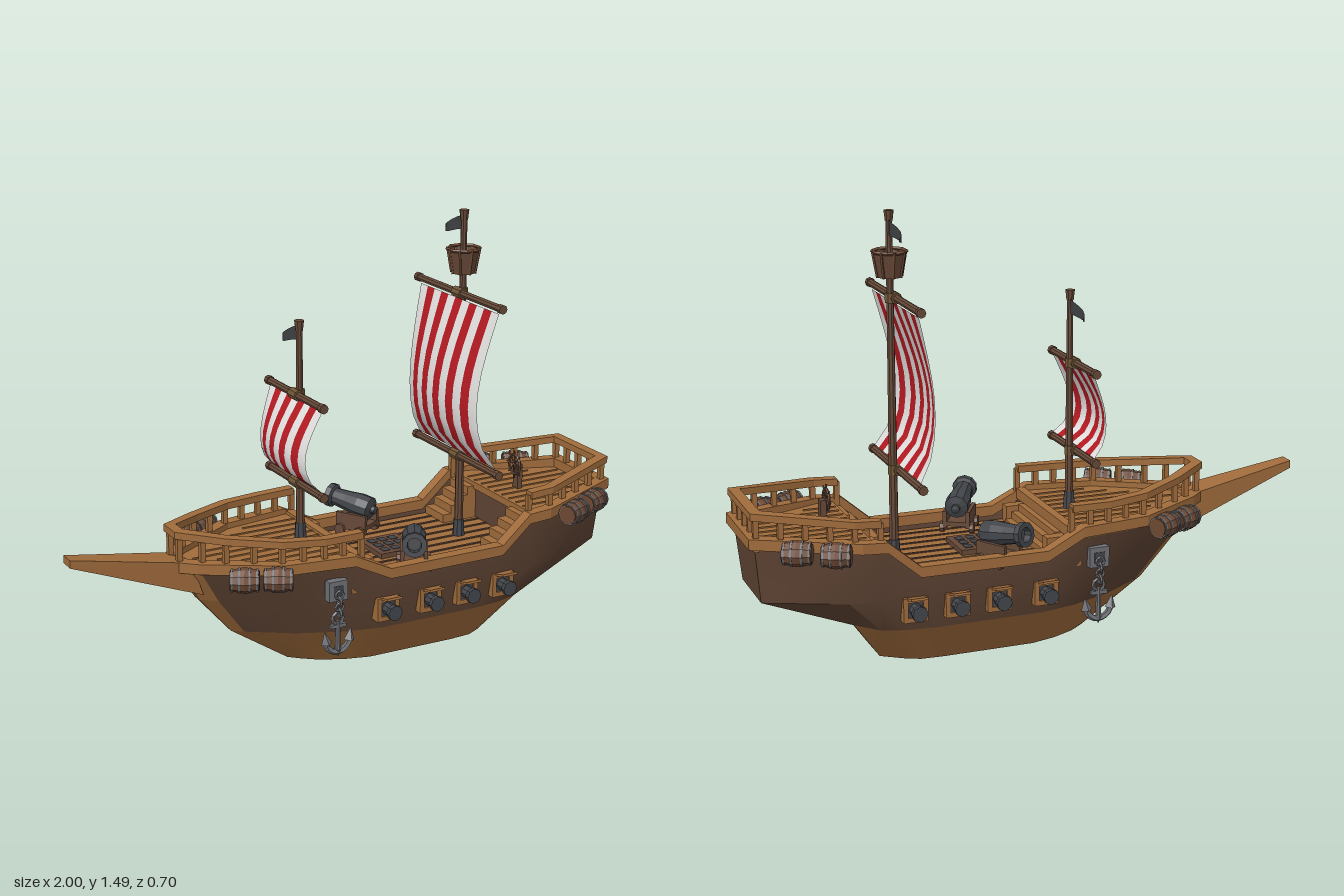
import * as THREE from 'three';
import { toCreasedNormals } from 'three/addons/utils/BufferGeometryUtils.js';

const V = (x, y, z) => new THREE.Vector3(x, y, z);
const paint = (name, color, both = false, flat = true) => {
  const m = new THREE.MeshStandardMaterial({ color, flatShading: flat });
  m.name = name;
  if (both) m.side = THREE.DoubleSide;
  return m;
};

// Flat-sided geometry from a list of four-cornered faces
function quads(list) {
  const pts = [];
  for (const [a, b, c, d] of list) pts.push(a, b, c, a, c, d);
  const g = new THREE.BufferGeometry().setFromPoints(pts);
  g.computeVertexNormals();
  return g;
}

// Rectangular board following a path, mitred at its corners
function board(path, w, h) {
  const rings = path.map((p, i) => {
    const t1 = V().subVectors(p, path[Math.max(i - 1, 0)]).setY(0).normalize();
    const t2 = V().subVectors(path[Math.min(i + 1, path.length - 1)], p).setY(0).normalize();
    const t = t1.clone().add(t2).normalize();
    const n = V(-t.z, 0, t.x);
    const ref = t1.lengthSq() ? t1 : t2;
    n.multiplyScalar(w / 2 / Math.max(0.5, t.dot(ref)));
    return [[1, -1], [1, 1], [-1, 1], [-1, -1]].map(([s, u]) => p.clone().addScaledVector(n, s).add(V(0, u * h / 2, 0)));
  });
  const f = [];
  for (let i = 0; i + 1 < rings.length; i++)
    for (let k = 0; k < 4; k++) {
      const j = (k + 1) % 4;
      f.push([rings[i][k], rings[i + 1][k], rings[i + 1][j], rings[i][j]]);
    }
  f.push(rings[0], [...rings[rings.length - 1]].reverse());
  return quads(f);
}

const flip = p => V(p.x, p.y, -p.z);
const around = side => [...side, ...side.map(flip).reverse()];

// Hull lines from keel to rail: x, y, half width, bow to stern
const LINES = [
  [[-.22, 0, .01], [-.19, 0, .04], [-.14, 0, .08], [-.06, 0, .12], [.03, 0, .145], [.35, 0, .15], [.43, 0, .145], [.48, 0, .12], [.55, 0, .07]],
  [[-.43, .14, .01], [-.395, .14, .038], [-.25, .14, .135], [-.1, .14, .2], [.03, .14, .23], [.4, .14, .235], [.5, .14, .225], [.58, .14, .2], [.65, .14, .12]],
  [[-.55, .28, .02], [-.5, .28, .065], [-.3, .28, .19], [-.1, .27, .245], [.03, .26, .26], [.46, .26, .26], [.6, .26, .255], [.7, .26, .24], [.96, .26, .125]],
  [[-.63, .41, .03], [-.575, .41, .082], [-.34, .41, .225], [-.1, .41, .262], [.03, .345, .267], [.47, .345, .267], [.58, .44, .267], [.66, .445, .267], [.98, .46, .14]],
].map(l => l.map(p => V(...p)));

export function createModel() {
  const ship = new THREE.Group();
  ship.name = 'sailingShip';
  const trim = paint('trimWood', 0xa06c3c, true, false), dark = paint('darkHull', 0x5f4434, true, false);
  const spar = paint('sparWood', 0x664938, true), iron = paint('iron', 0x42454a), steel = paint('steel', 0x707176);
  const cask = paint('caskWood', 0x6d4832), rope = paint('rope', 0x6e5536), white = paint('sailWhite', 0xe4e3e2, true, false);
  const red = paint('sailRed', 0xb51a22, true, false), cloth = paint('flagCloth', 0x3c3e40, true, false);

  const add = (name, geo, mat, p = [0, 0, 0], r = [0, 0, 0], parent = ship) => {
    const m = new THREE.Mesh(geo, mat);
    m.name = name;
    m.position.set(...p);
    m.rotation.set(...r);
    parent.add(m);
    return m;
  };
  const box = (name, w, h, d, mat, p, r, parent) => add(name, new THREE.BoxGeometry(w, h, d), mat, p, r, parent);
  const rod = (name, r1, r2, h, mat, p, r, parent, n = 8) => add(name, new THREE.CylinderGeometry(r1, r2, h, n), mat, p, r, parent);
  const group = (name, p, ry = 0) => {
    const g = new THREE.Group();
    g.name = name;
    g.position.set(...p);
    g.rotation.y = ry;
    ship.add(g);
    return g;
  };

  // Hull skin, mirrored about the keel; the first column is the stem
  const columns = (l, from, to) => {
    const f = [], A = LINES[l], B = LINES[l + 1];
    for (let s = from; s < to; s++) {
      const q = [A[s], A[s + 1], B[s + 1], B[s]];
      f.push(q, q.map(flip).reverse());
    }
    return f;
  };
  const bowCap = l => [flip(LINES[l][0]), LINES[l][0], LINES[l + 1][0], flip(LINES[l + 1][0])];
  const sternCap = l => [LINES[l][8], flip(LINES[l][8]), flip(LINES[l + 1][8]), LINES[l + 1][8]];
  const K = LINES[0], bottom = [];
  for (let s = 0; s < 8; s++) bottom.push([K[s], flip(K[s]), flip(K[s + 1]), K[s + 1]]);
  add('lowerHull', toCreasedNormals(quads([...columns(0, 0, 8), bowCap(0), sternCap(0), ...bottom]), .5), trim);
  add('stem', quads([...columns(1, 0, 1), ...columns(2, 0, 1), bowCap(1), bowCap(2)]), trim);
  add('upperHull', toCreasedNormals(quads([...columns(1, 1, 8), ...columns(2, 1, 8), sternCap(1), sternCap(2)]), .55), dark);
  const rail = LINES[3];
  add('gunwale', board(around(rail.map(p => V(p.x, p.y + .01, p.z))), .042, .036), trim);

  // Bowsprit wedge
  const sprit = new THREE.BoxGeometry(1, 1, 1), sp = sprit.attributes.position;
  for (let i = 0; i < sp.count; i++) {
    const tip = sp.getX(i) < 0, up = sp.getY(i) > 0;
    sp.setXYZ(i, tip ? -1 : up ? -.59 : -.55, tip ? (up ? .505 : .478) : (up ? .43 : .31), sp.getZ(i) * (tip ? .056 : .115));
  }
  sprit.computeVertexNormals();
  add('bowsprit', sprit, trim);

  // Decks, bulkheads and planking
  const deck = (name, pts, y) => {
    const o = [...pts, ...pts.map(([x, z]) => [x, -z]).reverse()].map(([x, z]) => new THREE.Vector2(x, z));
    const g = new THREE.ExtrudeGeometry(new THREE.Shape(o), { depth: .025, bevelEnabled: false });
    add(name, g.rotateX(Math.PI / 2), trim, [0, y, 0]);
  };
  deck('foreDeck', [...rail.slice(0, 4).map(p => [p.x, p.z]), [-.06, .255]], .418);
  deck('mainDeck', [[-.1, .25], [.64, .25]], .32);
  deck('aftDeck', [[.61, .255], [.66, .262], [.975, .138]], .455);
  box('foreBulkhead', .012, .1, .5, dark, [-.07, .36, 0]);
  box('aftBulkhead', .012, .13, .5, dark, [.625, .38, 0]);
  for (let i = -4; i <= 4; i++) {
    box('plankSeam', .66, .004, .01, dark, [.29, .321, i * .052 + .001]);
    const z = i * .045, bow = -.56 + Math.abs(z) * 1.5, stern = Math.min(.95, 1.2 - Math.abs(z) * 2.6);
    box('foreDeckBatten', -.09 - bow, .005, .005, trim, [(bow - .09) / 2, .42, z]);
    box('aftDeckBatten', stern - .62, .005, .005, trim, [(stern + .62) / 2, .457, z]);
  }
  for (let i = 0; i < 3; i++) box('foreStep', .025, .075 - i * .025, .34, trim, [-.052 + i * .025, .357 - i * .0125, 0]);
  box('foreDeckEdge', .03, .02, .5, trim, [-.075, .42, 0]);
  for (const s of [1, -1]) {
    box('foreDeckPost', .08, .06, .04, trim, [-.035, .36, s * .19]);
    for (let i = 0; i < 4; i++) box('aftStair', .035, .03 + i * .03, .12, trim, [.5 + i * .034, .335 + i * .015, s * .185]);
  }

  // Deck grating
  box('hatchFrame', .15, .02, .16, spar, [.185, .328, 0]);
  for (let i = 0; i < 3; i++)
    for (let j = 0; j < 3; j++) box('hatchHole', .028, .006, .03, iron, [.145 + i * .04, .337, (j - 1) * .044]);

  // Railings with evenly spaced posts
  const railing = (name, side, drop) => {
    const path = around(side);
    add(name + 'Rail', board(path, .036, .024), trim);
    for (let i = 0; i + 1 < path.length; i++) {
      const n = Math.max(1, Math.round(path[i].distanceTo(path[i + 1]) / .075));
      for (let k = 0; k < n; k++) {
        const p = path[i].clone().lerp(path[i + 1], k / n), h = p.y - drop;
        box(name + 'Post', .018, h, .018, trim, [p.x, drop + h / 2, p.z]);
      }
    }
    const e = path[path.length - 1], h = e.y - drop;
    box(name + 'Post', .018, h, .018, trim, [e.x, drop + h / 2, e.z]);
  };
  railing('fore', [V(-.065, .5, .25), V(-.2, .498, .245), V(-.34, .503, .215), V(-.5, .515, .125), V(-.625, .53, .035)], .41);
  railing('aft', [V(.595, .525, .25), V(.68, .53, .25), V(.975, .56, .14)], .44);

  // Striped billowing sail, one mesh per stripe
  const sail = (name, x0, y0, h, w, bulge, n) => {
    for (let i = 0; i < n; i++) {
      const g = new THREE.PlaneGeometry(2 / n, 1, 2, 8), p = g.attributes.position;
      for (let k = 0; k < p.count; k++) {
        const u = p.getX(k) - 1 + (2 * i + 1) / n, v = p.getY(k) + .5, b = Math.sin(Math.PI * v ** .72);
        p.setXYZ(k, x0 - bulge * b * (.68 + .32 * (1 - u * u)), y0 + v * h, -u * w * (1 - .12 * b));
      }
      g.computeVertexNormals();
      add(name, g, i % 2 ? red : white);
    }
  };
  // Mast with yards, lashings, cap and pennant
  const mast = (name, x, y0, y1, yards, half) => {
    rod(name, .011, .016, y1 - y0, spar, [x, (y0 + y1) / 2, 0]);
    rod(name + 'Foot', .018, .022, .06, iron, [x, y0 + .03, 0]);
    rod(name + 'Cap', .017, .013, .035, spar, [x, y1 - .0175, 0]);
    for (const y of yards) {
      rod(name + 'Yard', .013, .013, half * 2, spar, [x - .015, y, 0], [Math.PI / 2, 0, 0]);
      for (const s of [1, -1]) rod(name + 'YardEnd', .016, .016, .02, spar, [x - .015, y, s * (half - .01)], [Math.PI / 2, 0, 0]);
      rod(name + 'Lashing', .021, .021, .032, rope, [x - .003, y, 0]);
      rod(name + 'Lashing', .019, .019, .05, rope, [x - .015, y, 0], [Math.PI / 2, 0, 0]);
    }
    const g = new THREE.PlaneGeometry(1, 1, 8, 1), p = g.attributes.position;
    for (let k = 0; k < p.count; k++) {
      const t = p.getX(k) + .5;
      p.setXYZ(k, x + .012 * Math.sin(t * 7), y1 - .055 - .02 * t + .008 * Math.sin(t * 6) + p.getY(k) * .05 * (1 - .85 * t * t), -.01 - t * .12);
    }
    g.computeVertexNormals();
    add(name + 'Pennant', g, cloth);
  };
  mast('foreMast', -.16, .418, 1.18, [.93, .625], .2);
  sail('foreSail', -.175, .64, .275, .185, .075, 9);
  mast('mainMast', .47, .32, 1.485, [1.2, .622], .275);
  sail('mainSail', .455, .64, .54, .25, .09, 11);

  // Lookout basket
  add('lookoutWall', new THREE.CylinderGeometry(.056, .04, .085, 8, 1, true), spar, [.47, 1.31, 0]);
  rod('lookoutFloor', .041, .038, .01, spar, [.47, 1.272, 0]);
  add('lookoutRim', new THREE.TorusGeometry(.057, .006, 4, 8), cask, [.47, 1.352, 0], [Math.PI / 2, 0, Math.PI / 8]);
  for (let i = 0; i < 8; i++) {
    const a = i * Math.PI / 4, c = Math.sin(a), d = Math.cos(a);
    add('lookoutRib', new THREE.TubeGeometry(new THREE.LineCurve3(V(.47 + .041 * c, 1.268, .041 * d), V(.47 + .057 * c, 1.355, .057 * d)), 1, .005, 4), cask);
  }

  // Steering wheel
  box('wheelStand', .02, .09, .03, spar, [.715, .5, 0]);
  add('wheelRim', new THREE.TorusGeometry(.035, .005, 5, 12), spar, [.7, .545, 0], [0, Math.PI / 2, 0]);
  for (let i = 0; i < 4; i++) rod('wheelSpoke', .003, .003, .1, spar, [.7, .545, 0], [i * Math.PI / 4, 0, 0], ship, 5);

  const lathe = pts => new THREE.LatheGeometry(pts.map(p => new THREE.Vector2(...p)), 10);
  const gun = lathe([[0, -.1], [.015, -.095], [.015, -.082], [.041, -.075], [.043, -.03], [.036, .02], [.031, .07], [.043, .075], [.043, .095], [.025, .095], [.023, .07], [0, .07]]);
  const keg = lathe([[0, -.046], [.034, -.046], [.043, 0], [.034, .046], [0, .046]]);

  for (const s of [1, -1]) {
    // Deck cannon on its carriage
    const c = group('deckCannon', [.165, .32, s * .205], s > 0 ? -.53 : Math.PI + .53);
    for (const k of [1, -1]) {
      box('carriageCheek', .014, .06, .12, spar, [k * .04, .05, -.01], [0, 0, 0], c);
      for (const z of [-.05, .03]) rod('carriageWheel', .02, .02, .014, spar, [k * .052, .02, z], [0, 0, Math.PI / 2], c);
    }
    box('carriageBed', .07, .015, .12, spar, [0, .035, -.01], [0, 0, 0], c);
    add('cannonBarrel', gun, iron, [0, .107, .01], [Math.PI / 2 - .15, 0, 0], c);

    // Gun ports with raised lids and muzzles
    for (const x of [.03, .195, .34, .485]) {
      const g = group('gunPort', [x, .222, s * .25], s > 0 ? 0 : Math.PI);
      for (const k of [1, -1]) {
        box('portFrame', .084, .016, .04, trim, [0, k * .034, 0], [0, 0, 0], g);
        box('portFrame', .016, .084, .04, trim, [k * .034, 0, 0], [0, 0, 0], g);
      }
      box('portLid', .058, .008, .045, trim, [0, .045, .04], [-.25, 0, 0], g);
      box('portOpening', .052, .052, .02, iron, [0, 0, .003], [0, 0, 0], g);
      rod('muzzle', .019, .022, .045, iron, [0, 0, .032], [Math.PI / 2, 0, 0], g);
      rod('muzzleLip', .027, .027, .016, iron, [0, 0, .058], [Math.PI / 2, 0, 0], g);
    }

    // Casks lashed along the sides: x, y, z, heading
    for (const [x, y, z, a] of [[-.487, .412, .237, -.5], [-.392, .415, .29, -.5], [.755, .45, .298, .42], [.868, .455, .247, .42]]) {
      const g = group('cask', [x, y, s * z], s * a);
      add('caskBody', keg, cask, [0, 0, 0], [0, 0, Math.PI / 2], g);
      for (const [k, r] of [[-.041, .038], [-.017, .0425], [.017, .0425], [.041, .038]]) rod('caskHoop', r, r, .007, steel, [k, 0, 0], [0, 0, Math.PI / 2], g, 10);
      for (const k of [1, -1]) rod('caskHead', .032, .032, .004, cask, [k * .046, 0, 0], [0, 0, Math.PI / 2], g, 10);
    }

    // Anchor, chain and hawse plate
    const a = group('anchor', [-.16, 0, s * .262]);
    box('hawsePlate', .07, .07, .03, steel, [0, .322, -s * .008], [0, 0, 0], a);
    box('hawseHole', .036, .036, .006, iron, [0, .322, s * .006], [0, 0, 0], a);
    for (let i = 0; i < 4; i++) add('chainLink', new THREE.TorusGeometry(.014, .005, 5, 8), steel, [0, .31 - i * .021, s * .013], [0, i % 2 ? 1.57 : 0, 0], a);
    add('anchorRing', new THREE.TorusGeometry(.02, .006, 5, 10), steel, [0, .224, 0], [0, 0, 0], a);
    rod('anchorShank', .008, .011, .11, steel, [0, .16, 0], [0, 0, 0], a);
    box('anchorStock', .06, .012, .014, steel, [0, .198, 0], [0, 0, 0], a);
    add('anchorArms', new THREE.TorusGeometry(.045, .011, 5, 10, Math.PI), steel, [0, .15, 0], [0, 0, Math.PI], a);
    for (const k of [1, -1]) add('anchorFluke', new THREE.ConeGeometry(.02, .045, 4), steel, [k * .046, .162, 0], [0, 0, k * -.15], a);
    add('anchorPoint', new THREE.ConeGeometry(.016, .026, 4), steel, [0, .1, 0], [Math.PI, 0, 0], a);
  }
  return ship;
}
